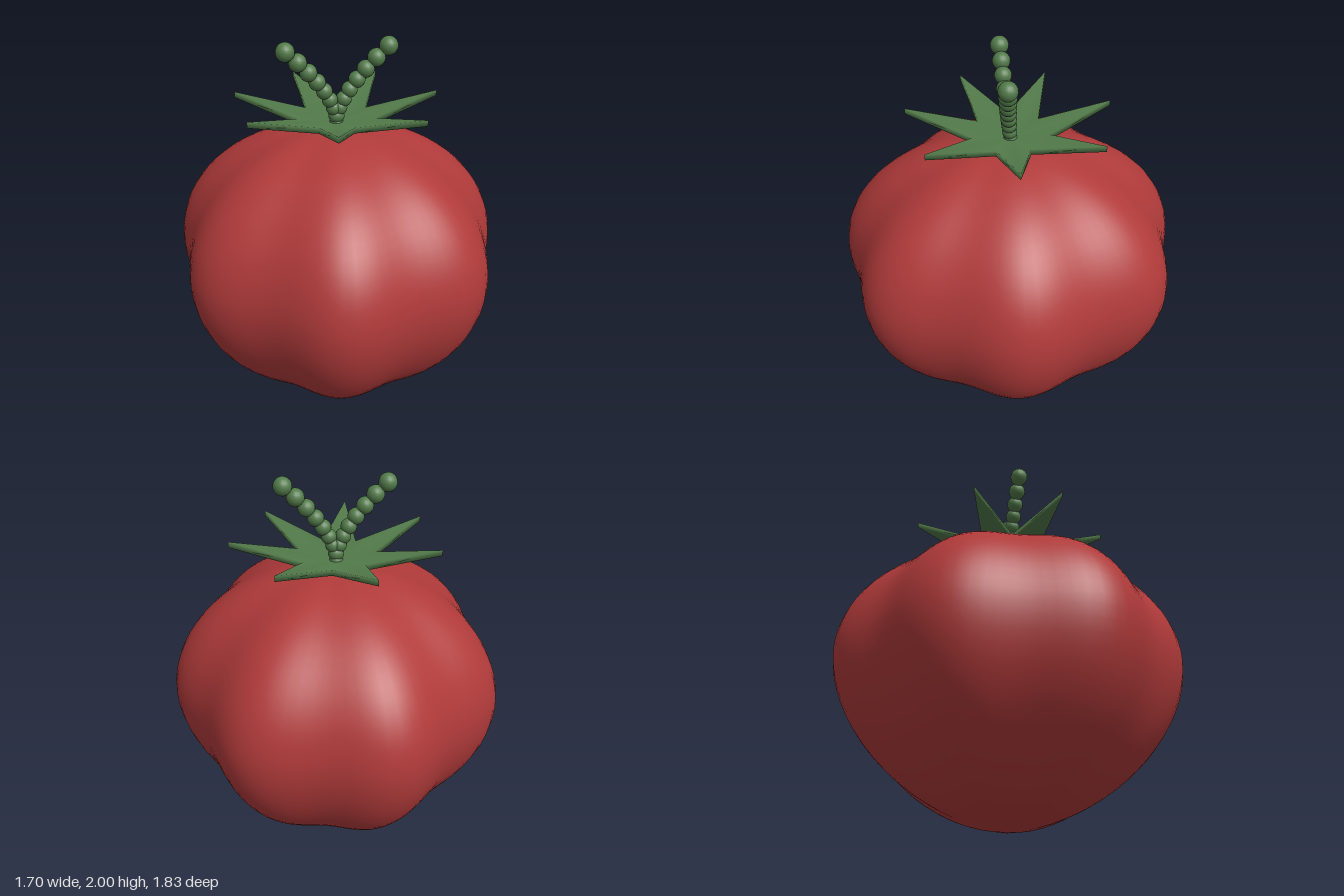
import * as THREE from 'three';
import { mergeVertices } from 'three/addons/utils/BufferGeometryUtils.js';

const LOBES = 7;

// Seven-lobed fruit: a sphere reshaped by a vertical profile and a ripple around it
function fruitGeometry() {
  let g = new THREE.SphereGeometry(1, 84, 40);
  g.deleteAttribute('uv');
  g.deleteAttribute('normal');
  g = mergeVertices(g, 1e-4);
  const p = g.attributes.position;
  for (let i = 0; i < p.count; i++) {
    const y = p.getY(i);
    const angle = Math.atan2(p.getZ(i), p.getX(i));
    const t = Math.min(1, Math.abs(y));
    const profile = y > 0 ? Math.sqrt(1 - t * t) : Math.pow(1 - Math.pow(t, 1.85), 0.58);
    const r = profile * (1 + 0.043 * Math.cos(LOBES * angle));
    p.setXYZ(i, 0.843 * r * Math.cos(angle), 0.85 + y * (y > 0 ? 0.7 : 0.85), 0.89 * r * Math.sin(angle));
  }
  g.computeVertexNormals();
  return g;
}

// Star of pointed leaves: rising rim of tips and notches, joined to a low centre
function calyxGeometry() {
  const n = LOBES * 2, thick = 0.03, pos = [], index = [];
  for (const drop of [0, thick]) {
    pos.push(0, 1.56 - drop, 0);
    for (let i = 0; i < n; i++) {
      const r = i % 2 ? 0.2 : 0.54, a = (i / n) * Math.PI * 2;
      pos.push(r * Math.cos(a), 1.545 + 0.27 * r - drop, r * Math.sin(a));
    }
  }
  const low = n + 1;
  for (let i = 0; i < n; i++) {
    const a = 1 + i, b = 1 + ((i + 1) % n);
    index.push(0, b, a, low, low + a, low + b);
    index.push(a, b, low + b, a, low + b, low + a);
  }
  let g = new THREE.BufferGeometry();
  g.setAttribute('position', new THREE.Float32BufferAttribute(pos, 3));
  g.setIndex(index);
  g.computeVertexNormals();
  return g;
}

export function createModel() {
  const red = new THREE.MeshStandardMaterial({ color: 0xb03a3a });
  red.name = 'tomato red';
  const green = new THREE.MeshStandardMaterial({ color: 0x527a4a });
  green.name = 'leaf green';

  const model = new THREE.Group();
  model.name = 'tomato';
  model.position.x = -0.03;
  const add = (parent, name, geometry, material) => {
    const mesh = new THREE.Mesh(geometry, material);
    mesh.name = name;
    parent.add(mesh);
    return mesh;
  };

  add(model, 'fruit', fruitGeometry(), red);
  add(model, 'calyx', calyxGeometry(), green);

  // Forked stem: two curved chains of beads
  const bead = new THREE.SphereGeometry(1, 16, 12);
  for (const side of [-1, 1]) {
    const branch = new THREE.Group();
    branch.name = side > 0 ? 'leftStemBranch' : 'rightStemBranch';
    const curve = new THREE.QuadraticBezierCurve3(
      new THREE.Vector3(0, 1.56, 0),
      new THREE.Vector3(0, 1.72, 0.015),
      new THREE.Vector3(side * 0.26, 1.95, 0.033)
    );
    for (let i = 0; i <= 8; i++) {
      const m = add(branch, 'stemBead', bead, green);
      m.position.copy(curve.getPoint(i / 8));
      m.scale.setScalar(0.036 + 0.012 * (i / 8));
    }
    model.add(branch);
  }

  const root = new THREE.Group();
  root.name = 'model';
  root.add(model);
  return root;
}
